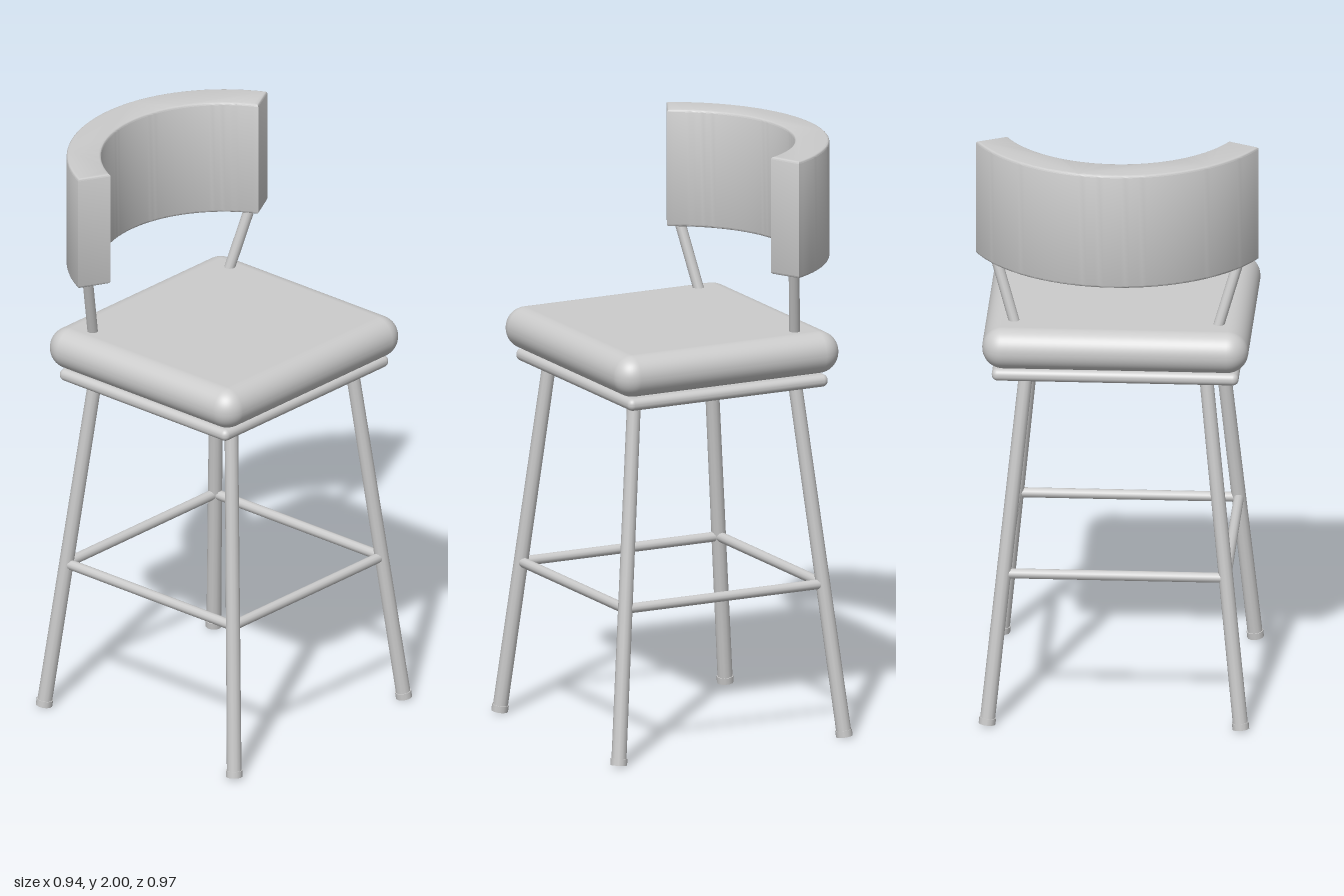
import * as THREE from 'three';
import { RoundedBoxGeometry } from 'three/addons/geometries/RoundedBoxGeometry.js';
import { toCreasedNormals } from 'three/addons/utils/BufferGeometryUtils.js';

const CZ = 0.036; // z of the seat's centre
const material = new THREE.MeshStandardMaterial({ color: 0xcccccc });

function add(parent, name, geometry) {
  const mesh = new THREE.Mesh(geometry, material);
  mesh.name = name;
  parent.add(mesh);
  return mesh;
}

// Round bar between two points
function bar(parent, name, from, to, rFrom, rTo = rFrom, sides = 12) {
  const dir = to.clone().sub(from);
  const mesh = add(parent, name, new THREE.CylinderGeometry(rTo, rFrom, dir.length(), sides));
  mesh.position.copy(from).add(to).multiplyScalar(0.5);
  mesh.quaternion.setFromUnitVectors(new THREE.Vector3(0, 1, 0), dir.normalize());
}

// Point on a leg's axis at height y
function legPoint(sx, sz, y) {
  const t = y / 1.2;
  return new THREE.Vector3(sx * (0.422 - 0.122 * t), y, CZ + sz * (0.424 - 0.122 * t));
}

// Curved back pad: an arc band extruded upwards with a small bevel
function backrestGeometry() {
  const bevel = 0.008, outer = 0.522, inner = 0.407;
  const half = THREE.MathUtils.degToRad(64.2) - bevel / 0.465;
  const a0 = Math.PI / 2 - half, a1 = Math.PI / 2 + half;
  const shape = new THREE.Shape();
  shape.absarc(0, 0, outer - bevel, a0, a1, false);
  shape.absarc(0, 0, inner + bevel, a1, a0, true);
  shape.closePath();
  const geometry = new THREE.ExtrudeGeometry(shape, {
    depth: 0.4 - 2 * bevel, curveSegments: 40,
    bevelEnabled: true, bevelThickness: bevel, bevelSize: bevel, bevelSegments: 3,
  });
  geometry.rotateX(-Math.PI / 2);
  return toCreasedNormals(geometry, 0.6);
}

export function createModel() {
  const model = new THREE.Group();
  model.name = 'barStool';

  // Cushion and the thinner plate below it
  add(model, 'seatCushion', new RoundedBoxGeometry(0.884, 0.142, 0.836, 6, 0.07))
    .position.set(0, 1.316, CZ);
  add(model, 'seatPlate', new RoundedBoxGeometry(0.82, 0.042, 0.75, 4, 0.02))
    .position.set(0, 1.221, CZ);

  // Splayed legs with small feet
  const corners = [[1, 1], [1, -1], [-1, -1], [-1, 1]];
  for (const [sx, sz] of corners) {
    bar(model, 'leg', legPoint(sx, sz, 0.015), legPoint(sx, sz, 1.22), 0.025, 0.023);
    bar(model, 'foot', legPoint(sx, sz, 0.004), legPoint(sx, sz, 0.026), 0.028);
  }

  // Ring of footrest rungs
  corners.forEach(([sx, sz], i) => {
    const [nx, nz] = corners[(i + 1) % 4];
    bar(model, 'footrestRung', legPoint(sx, sz, 0.52), legPoint(nx, nz, 0.52), 0.017);
  });

  // Backrest and its two posts
  add(model, 'backrest', backrestGeometry()).position.set(0, 1.608, CZ);
  for (const s of [-1, 1]) {
    bar(model, 'backPost', new THREE.Vector3(s * 0.315, 1.3, -0.258),
      new THREE.Vector3(s * 0.422, 1.66, -0.198), 0.018);
  }
  return model;
}
